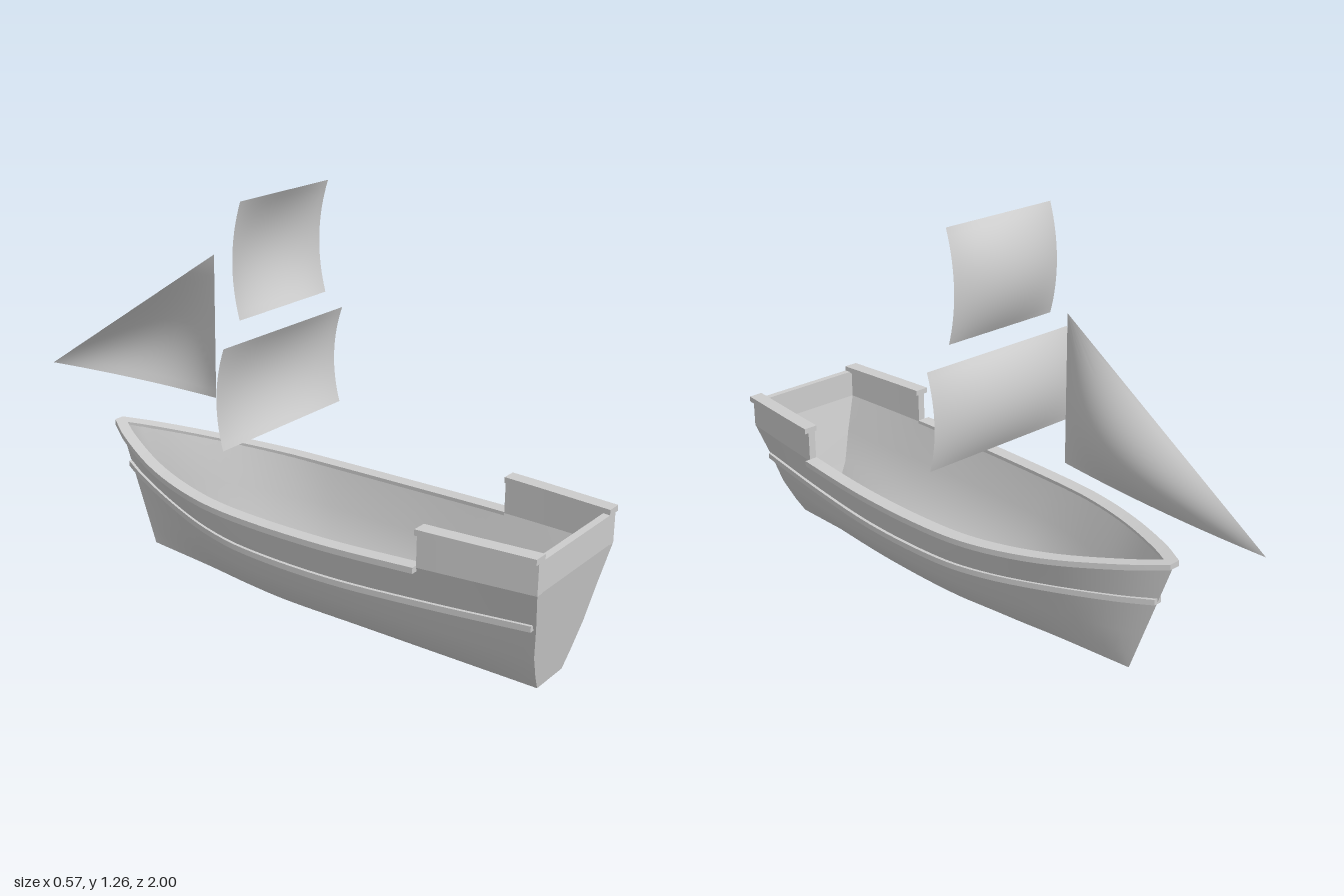
import * as THREE from 'three';
import { toCreasedNormals } from 'three/addons/utils/BufferGeometryUtils.js';

// Smooth interpolation through [station, value] tables, station 0 = stern, 1 = bow
const STATIONS = [0, 0.21, 0.4, 0.59, 0.7, 0.82, 0.94, 1];
function curve(values) {
  const slope = values.map((v, i) => {
    const a = Math.max(0, i - 1), b = Math.min(values.length - 1, i + 1);
    return (values[b] - values[a]) / (STATIONS[b] - STATIONS[a]);
  });
  return (t) => {
    let i = 0;
    while (i < STATIONS.length - 2 && t > STATIONS[i + 1]) i++;
    const h = STATIONS[i + 1] - STATIONS[i], s = (t - STATIONS[i]) / h;
    const s2 = s * s, s3 = s2 * s;
    return (2 * s3 - 3 * s2 + 1) * values[i] + (s3 - 2 * s2 + s) * h * slope[i]
      + (3 * s2 - 2 * s3) * values[i + 1] + (s3 - s2) * h * slope[i + 1];
  };
}

// Half widths of the hull at each level
const bottomW = curve([0.07, 0.07, 0.07, 0.07, 0.055, 0.03, 0.01, 0]);
const chineW = curve([0.1, 0.13, 0.145, 0.14, 0.115, 0.065, 0.025, 0]);
const bilgeW = curve([0.14, 0.18, 0.197, 0.19, 0.16, 0.1, 0.037, 0]);
const waleW = curve([0.172, 0.21, 0.23, 0.225, 0.195, 0.13, 0.05, 0]);
const sheerW = curve([0.215, 0.247, 0.264, 0.259, 0.235, 0.172, 0.07, 0]);
// Heights of the two lengthwise lines
const waleY = curve([0.235, 0.222, 0.212, 0.214, 0.222, 0.235, 0.252, 0.262]);
const sheerY = curve([0.355, 0.347, 0.338, 0.338, 0.346, 0.363, 0.39, 0.406]);

const sternZ = (y) => 0.94 + 0.06 * Math.min(y / 0.355, 1);
const bowZ = (y) => -0.545 - 0.153 * (y / 0.406);
const zAt = (t, y) => sternZ(y) + t * (bowZ(y) - sternZ(y));

const BULWARK_END = 0.21;
const BULWARK_TOP = 0.447;

// Half section at a station, from bottom to sheer
const levels = (t) => [
  [bottomW(t), 0], [chineW(t), 0.05], [bilgeW(t), 0.13], [waleW(t), waleY(t)], [sheerW(t), sheerY(t)],
];

// Skin a grid of points; caps close the first and last rings
function loft(rows, { caps = false, crease = 0.65 } = {}) {
  const n = rows[0].length;
  const index = [];
  for (let i = 0; i < rows.length - 1; i++) {
    for (let j = 0; j < n - 1; j++) {
      const a = i * n + j, b = a + n;
      index.push(a, b, a + 1, b, b + 1, a + 1);
    }
  }
  if (caps) {
    const last = (rows.length - 1) * n;
    for (let j = 1; j < n - 2; j++) index.push(0, j, j + 1, last, last + j + 1, last + j);
  }
  const g = new THREE.BufferGeometry();
  g.setAttribute('position', new THREE.Float32BufferAttribute(rows.flat(2), 3));
  g.setIndex(index);
  return toCreasedNormals(g, crease);
}

const range = (n, a = 0, b = 1) => Array.from({ length: n + 1 }, (_, i) => a + (b - a) * i / n);

// Hull skin; inset makes the inner planking
function hullSkin(inset) {
  const rows = range(48).map((t) => {
    const half = levels(t).map(([w, y], i) => [
      Math.max(0, w - (i ? inset : inset * 0.2)),
      i < 2 ? y + inset * 0.4 : y,
      zAt(t, y),
    ]);
    return [...half.map(([x, y, z]) => [-x, y, z]).reverse(), ...half];
  });
  return loft(inset ? rows.reverse() : rows);
}

// Rectangular strip swept along one side of the hull
function sideStrip(side, t0, t1, width, height, inner, outer, y0, y1) {
  const rows = range(36, t0, t1).map((t) => {
    const w = width(t), y = height(t), z = zAt(t, y);
    const a = Math.max(0, w - inner), b = w + outer;
    const low = y0(y), high = y1(y);
    return [[a, low, z], [b, low, z], [b, high, z], [a, high, z], [a, low, z]]
      .map(([px, py, pz]) => [px * side, py, pz]);
  });
  return loft(side > 0 ? rows : rows.map((r) => r.reverse()), { caps: true, crease: 0.5 });
}

// Bellied square sail
function squareSail(halfWidth, y0, y1, edge, belly) {
  return loft(range(16).map((v) => range(20, -1, 1).map((u) => [
    u * halfWidth,
    y0 + (y1 - y0) * v,
    0.006 * v - (edge + belly * (1 - u * u)) * 4 * v * (1 - v),
  ])), { crease: 1 });
}

// Triangular head sail, bulging to one side
function jibSail() {
  return loft(range(20).map((v) => range(20).map((u) => {
    const head = v, tip = (1 - v) * u, tack = (1 - v) * (1 - u);
    return [
      1.45 * head * tip * tack + 0.06 * tip * tack,
      1.03 * head + 0.545 * tip + 0.57 * tack,
      -0.27 - 0.73 * tip,
    ];
  })), { crease: 1 });
}

export function createModel() {
  const model = new THREE.Group();
  model.name = 'sailingBoat';
  const grey = new THREE.MeshStandardMaterial({ color: 0xcccccc, side: THREE.DoubleSide });
  grey.name = 'plainGrey';
  const add = (name, geometry) => {
    const mesh = new THREE.Mesh(geometry, grey);
    mesh.name = name;
    model.add(mesh);
  };

  // Hull
  add('hullOutside', hullSkin(0));
  add('hullInside', hullSkin(0.025));

  // Stern board, raked below and upright above
  const board = [...levels(0), [sheerW(0), BULWARK_TOP]];
  const across = (w, y, z) => [[-w, y, z], [w, y, z]];
  const outside = board.map(([w, y]) => across(w, y, sternZ(y))).reverse();
  const inside = board.map(([w, y]) => across(w - 0.004, y + (y ? 0 : 0.01), sternZ(y) - 0.022));
  add('sternBoard', loft([...outside, ...inside, outside[0]], { crease: 0.1 }));

  // Rails, wales and stern bulwarks on both sides
  for (const side of [1, -1]) {
    const label = side > 0 ? 'left' : 'right';
    add(label + 'GunwaleRail', sideStrip(side, BULWARK_END, 1, sheerW, sheerY, 0.027, 0.018,
      (y) => y - 0.014, (y) => y + 0.004));
    add(label + 'Wale', sideStrip(side, 0.005, 1, waleW, waleY, 0.01, 0.014,
      (y) => y - 0.006, (y) => y + 0.012));
    add(label + 'Bulwark', sideStrip(side, 0, BULWARK_END, sheerW, sheerY, 0.025, 0,
      (y) => y - 0.002, () => BULWARK_TOP));
    add(label + 'BulwarkCap', sideStrip(side, 0, BULWARK_END, sheerW, sheerY, 0.033, 0.014,
      () => BULWARK_TOP - 0.002, () => 0.463));
  }

  // Sails
  add('mainSail', squareSail(0.285, 0.54, 0.85, 0.026, 0.022));
  add('topSail', squareSail(0.205, 0.915, 1.26, 0.028, 0.03));
  add('jib', jibSail());
  return model;
}
